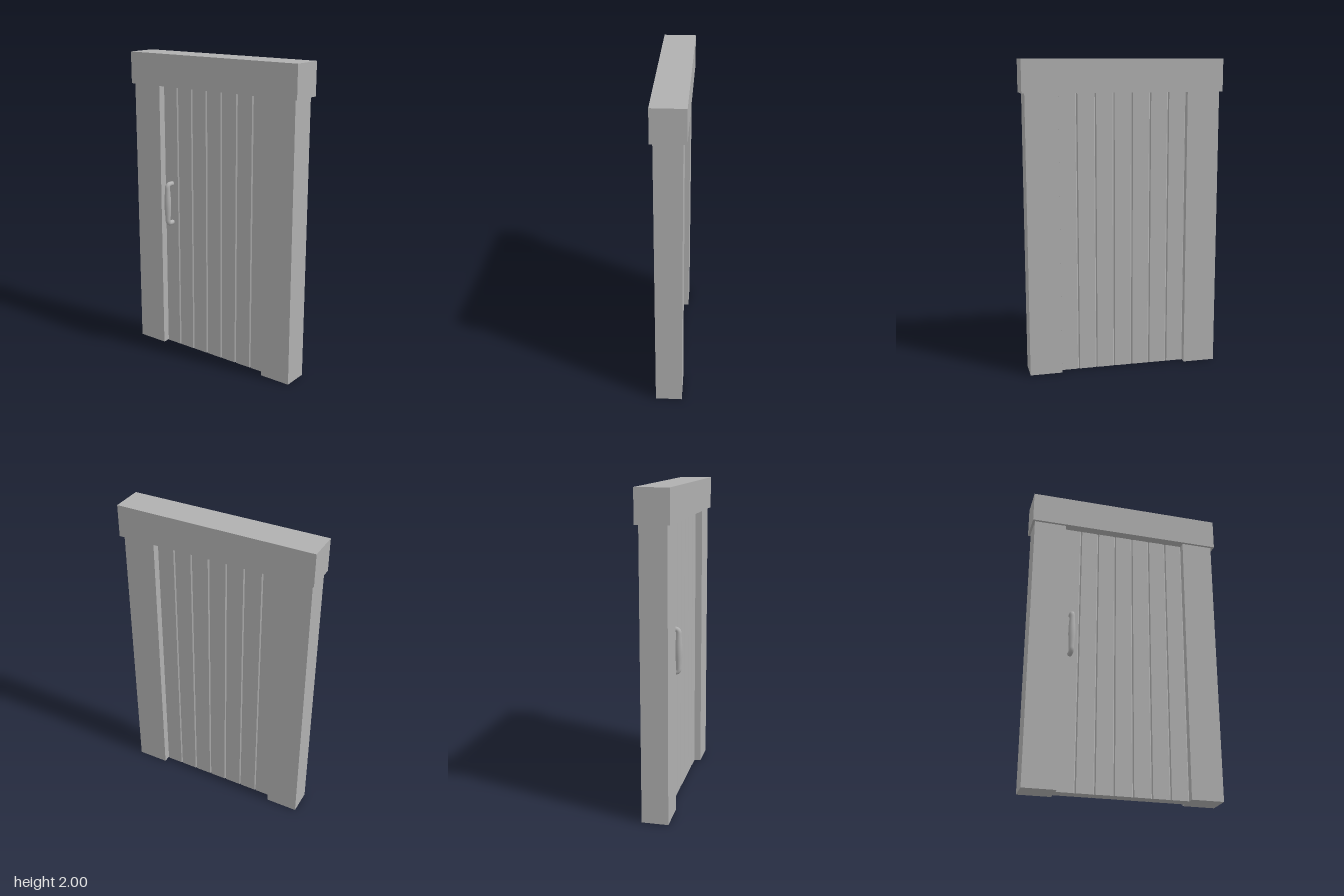
import * as THREE from 'three';

export function createModel() {
  const group = new THREE.Group();
  group.name = 'plankDoor';
  const grey = new THREE.MeshStandardMaterial({ color: 0xb0b0b0 });
  grey.name = 'plain grey';

  const add = (name, geometry) => {
    const mesh = new THREE.Mesh(geometry, grey);
    mesh.name = name;
    group.add(mesh);
    return mesh;
  };
  // box given by its limits on each axis
  const block = (name, x0, x1, y0, y1, z0, z1) =>
    add(name, new THREE.BoxGeometry(x1 - x0, y1 - y0, z1 - z0))
      .position.set((x0 + x1) / 2, (y0 + y1) / 2, (z0 + z1) / 2);

  // frame
  block('lintel', -0.637, 0.637, 1.795, 2, -0.108, 0.097);
  block('rightPost', -0.622, -0.413, 0, 1.795, -0.086, 0.08);
  block('leftPost', 0.411, 0.617, 0, 1.795, -0.086, 0.08);

  // planks: chamfered edges meet in V grooves on both faces
  const first = -0.416, last = 0.411, count = 7;
  const w = (last - first) / count, c = 0.007, front = 0.037, back = -0.043;
  for (let i = 0; i < count; i++) {
    const h = w / 2;
    // shape y becomes -z once the plank is stood upright
    const section = new THREE.Shape([
      [-h, -front + c], [-h + c, -front], [h - c, -front], [h, -front + c],
      [h, -back - c], [h - c, -back], [-h + c, -back], [-h, -back - c],
    ].map(([x, y]) => new THREE.Vector2(x, y)));
    const geometry = new THREE.ExtrudeGeometry(section, { depth: 1.795, bevelEnabled: false });
    geometry.rotateX(-Math.PI / 2);
    add('plank', geometry).position.x = first + w * (i + 0.5);
  }

  // pull handle: bent tube, thicker at mid grip
  const hx = -0.353, bottom = 0.881, top = 1.148, out = 0.086, bend = 0.022;
  const v = (y, z) => new THREE.Vector3(hx, y, z);
  const path = new THREE.CurvePath();
  path.add(new THREE.LineCurve3(v(bottom, 0.03), v(bottom, out - bend)));
  path.add(new THREE.QuadraticBezierCurve3(v(bottom, out - bend), v(bottom, out), v(bottom + bend, out)));
  path.add(new THREE.LineCurve3(v(bottom + bend, out), v(top - bend, out)));
  path.add(new THREE.QuadraticBezierCurve3(v(top - bend, out), v(top, out), v(top, out - bend)));
  path.add(new THREE.LineCurve3(v(top, out - bend), v(top, 0.03)));
  const rings = 60, sides = 14;
  const tube = new THREE.TubeGeometry(path, rings, 0.016, sides, false);
  const pos = tube.attributes.position, p = new THREE.Vector3();
  for (let i = 0; i <= rings; i++) {
    const centre = path.getPointAt(i / rings);
    const t = (centre.y - (bottom + top) / 2) / ((top - bottom) / 2);
    const swell = 1 + 0.4 * Math.cos(t * Math.PI / 2) ** 2;
    for (let j = 0; j <= sides; j++) {
      const k = i * (sides + 1) + j;
      p.fromBufferAttribute(pos, k).sub(centre).multiplyScalar(swell).add(centre);
      pos.setXYZ(k, p.x, p.y, p.z);
    }
  }
  tube.computeVertexNormals();
  add('handle', tube);

  return group;
}
